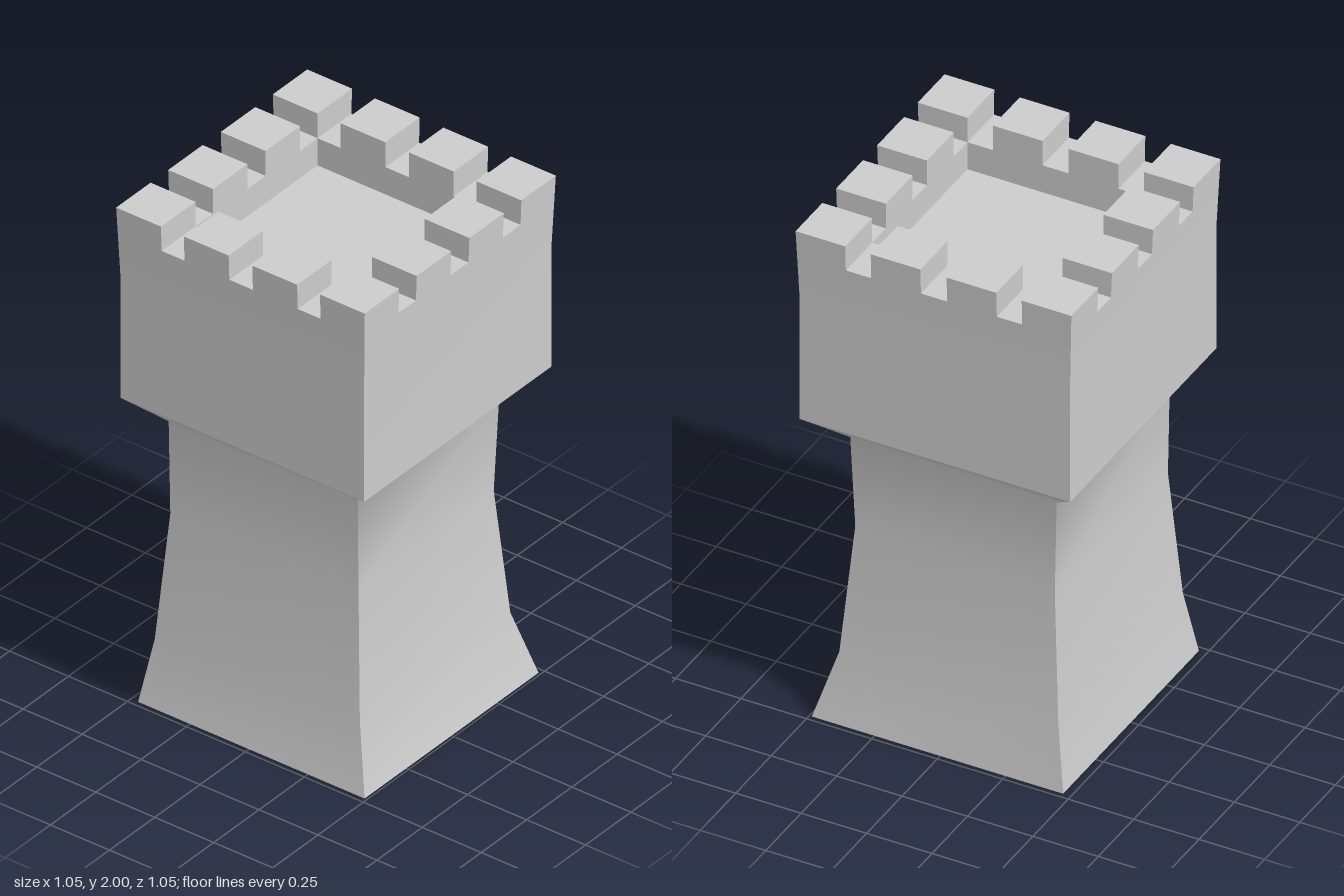
import * as THREE from 'three';

const material = new THREE.MeshStandardMaterial({ color: 0xcccccc, side: THREE.DoubleSide });

const INNER = 0.337;      // inner face of the parapet
const TOP = 2, LEDGE = 1.9, FLOOR = 1.79;
// half width of the head, flaring slightly near the top
const outer = (y) => 0.517 + Math.max(0, y - 1.73) * 0.037;

function add(parent, name, geometry) {
  const mesh = new THREE.Mesh(geometry, material);
  mesh.name = name;
  parent.add(mesh);
  return mesh;
}

// One wall, smooth from ring to ring; the corners between walls stay sharp.
// Ring: [y, left x, right x, half depth at left, half depth at right]
function wallStrip(rings, side) {
  const positions = [], index = [];
  rings.forEach(([y, xl, xr, zl, zr], i) => {
    const corners = [[xl, zl], [xr, zr], [xr, -zr], [xl, -zl]];
    const p = corners[side], q = corners[(side + 1) % 4];
    positions.push(p[0], y, p[1], q[0], y, q[1]);
    if (i > 0) {
      const a = 2 * i - 2;
      index.push(a, a + 1, a + 3, a, a + 3, a + 2);
    }
  });
  const geometry = new THREE.BufferGeometry();
  geometry.setAttribute('position', new THREE.Float32BufferAttribute(positions, 3));
  geometry.setIndex(index);
  geometry.computeVertexNormals();
  return geometry;
}

function walls(name, rings) {
  const group = new THREE.Group();
  group.name = name;
  for (let s = 0; s < 4; s++) add(group, name + 'Wall', wallStrip(rings, s));
  return group;
}

// Box without an underside, its outer faces following the flare of the head
function merlon(x0, x1, z0, z1) {
  const g = new THREE.BoxGeometry(x1 - x0, TOP - LEDGE, z1 - z0);
  g.translate((x0 + x1) / 2, (TOP + LEDGE) / 2, (z0 + z1) / 2);
  const index = Array.from(g.index.array);
  index.splice(18, 6);
  g.setIndex(index);
  g.clearGroups();
  const p = g.attributes.position;
  for (let i = 0; i < p.count; i++) {
    const o = outer(p.getY(i));
    if (Math.abs(p.getX(i)) > 0.5) p.setX(i, Math.sign(p.getX(i)) * o);
    if (Math.abs(p.getZ(i)) > 0.5) p.setZ(i, Math.sign(p.getZ(i)) * o);
  }
  g.computeVertexNormals();
  return g;
}

function flat(x0, x1, z0, z1, y) {
  return new THREE.PlaneGeometry(x1 - x0, z1 - z0)
    .rotateX(-Math.PI / 2)
    .translate((x0 + x1) / 2, y, (z0 + z1) / 2);
}

export function createModel() {
  const tower = new THREE.Group();
  tower.name = 'tower';

  // Waisted shaft, open underneath, spreading out below the head
  tower.add(walls('shaft', [
    [0, -0.47, 0.49, 0.48, 0.48],
    [0.25, -0.43, 0.42, 0.44, 0.415],
    [0.75, -0.395, 0.382, 0.4, 0.373],
    [1.12, -0.402, 0.392, 0.4, 0.39],
    [1.23, -0.517, 0.517, 0.517, 0.517],
  ]));

  // Square head
  tower.add(walls('head', [1.23, 1.73, LEDGE].map((y) => {
    const o = outer(y);
    return [y, -o, o, o, o];
  })));

  // Sunken roof floor and the inner faces of the parapet
  add(tower, 'roofFloor', flat(-INNER, INNER, -INNER, INNER, FLOOR));
  tower.add(walls('parapetInner', [LEDGE, FLOOR].map((y) => [y, -INNER, INNER, INNER, INNER])));

  // Battlements: each side has a corner block, then gaps and merlons in turn
  const stops = [-INNER, -0.24, -0.05, 0.05, 0.24, INNER];
  const edge = outer(LEDGE);
  for (let s = 0; s < 4; s++) {
    const side = new THREE.Group();
    side.name = 'battlementSide';
    side.rotation.y = s * Math.PI / 2;
    add(side, 'cornerMerlon', merlon(INNER, edge, INNER, edge));
    for (let i = 0; i < stops.length - 1; i++) {
      if (i % 2) add(side, 'merlon', merlon(stops[i], stops[i + 1], INNER, edge));
      else add(side, 'gapLedge', flat(stops[i], stops[i + 1], INNER, edge, LEDGE));
    }
    tower.add(side);
  }
  return tower;
}
